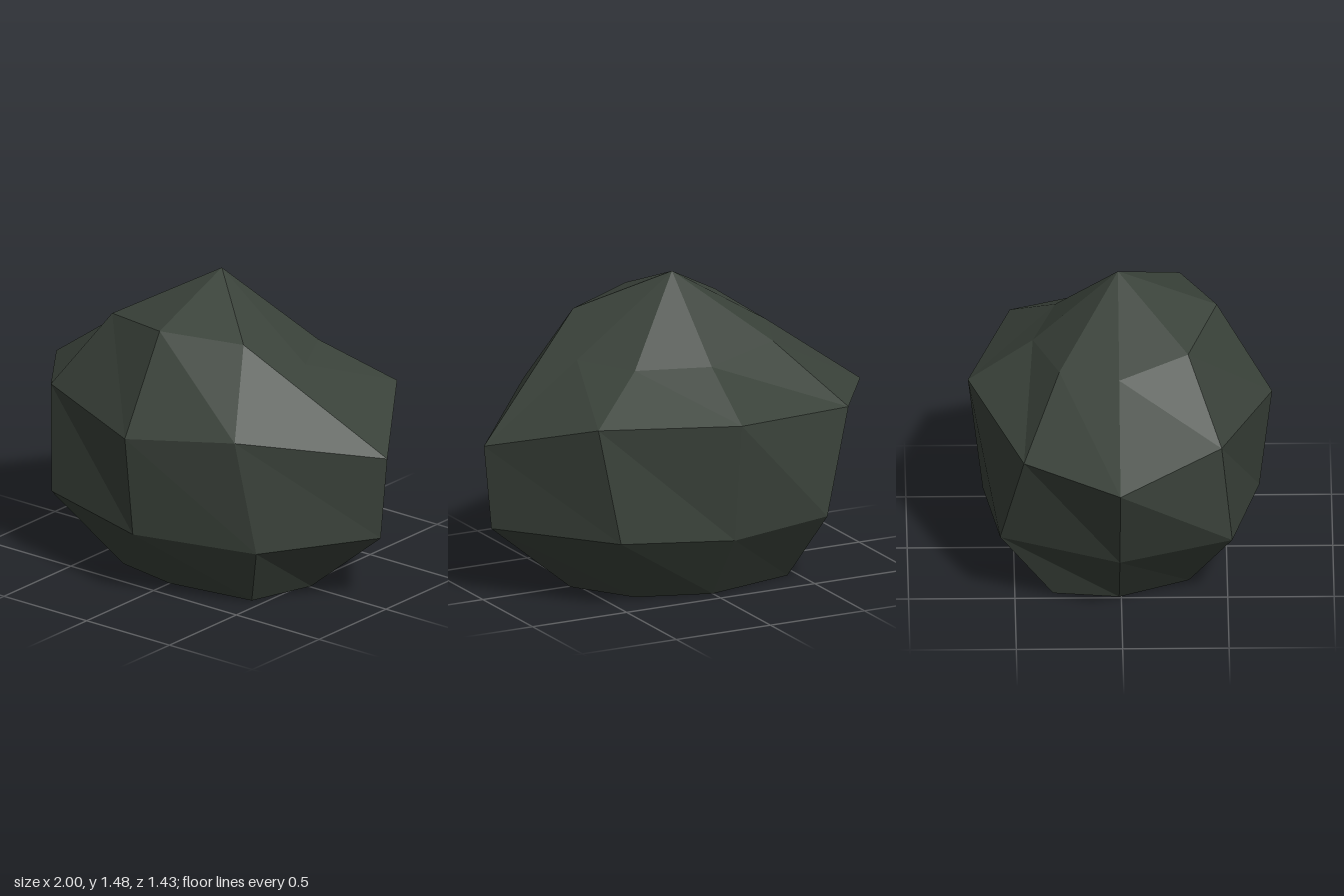
import * as THREE from 'three';

// Irregular eight-sided cross-sections, bottom to top, each running from +x round through +z
const SECTIONS = [
  [[0.54, 0, -0.01], [0.44, 0, 0.31], [0, 0, 0.38], [-0.33, 0, 0.32], [-0.49, 0, -0.01], [-0.45, 0, -0.32], [0, 0, -0.42], [0.35, 0, -0.3]],
  [[0.96, 0.345, -0.01], [0.58, 0.31, 0.45], [0, 0.33, 0.655], [-0.6, 0.36, 0.52], [-0.77, 0.335, -0.01], [-0.53, 0.345, -0.57], [0, 0.32, -0.645], [0.55, 0.35, -0.54]],
  [[1, 0.755, -0.01], [0.51, 0.875, 0.525], [0, 0.83, 0.715], [-0.645, 0.875, 0.47], [-1, 0.81, -0.01], [-0.7, 0.83, -0.46], [0, 0.9, -0.715], [0.655, 0.915, -0.51]],
  [[0.505, 1.11, -0.01], [0.37, 1.265, 0.285], [0, 1.295, 0.455], [-0.4, 1.245, 0.315], [-0.505, 1.165, -0.01], [-0.39, 1.15, -0.29], [0, 1.11, -0.41], [0.35, 1.11, -0.3]],
];
const PEAK = [0, 1.475, -0.01];
const BASE = [0, 0, -0.01];

function boulderGeometry() {
  const points = [];
  const face = (...corners) => corners.forEach((c) => points.push(...c));
  const sides = SECTIONS[0].length;
  const top = SECTIONS[SECTIONS.length - 1];

  for (let i = 0; i < sides; i++) {
    const j = (i + 1) % sides;
    // Side bands
    for (let k = 0; k < SECTIONS.length - 1; k++) {
      const low = SECTIONS[k];
      const high = SECTIONS[k + 1];
      face(low[i], high[i], high[j]);
      face(low[i], high[j], low[j]);
    }
    // Peak and flat underside
    face(top[i], PEAK, top[j]);
    face(SECTIONS[0][i], SECTIONS[0][j], BASE);
  }

  const geometry = new THREE.BufferGeometry();
  geometry.setAttribute('position', new THREE.Float32BufferAttribute(points, 3));
  geometry.computeVertexNormals();
  return geometry;
}

export function createModel() {
  const group = new THREE.Group();
  group.name = 'rock';
  const stone = new THREE.MeshStandardMaterial({ color: 0x3a423a });
  stone.name = 'dark mossy stone';
  stone.flatShading = true;
  const boulder = new THREE.Mesh(boulderGeometry(), stone);
  boulder.name = 'boulder';
  group.add(boulder);
  return group;
}
